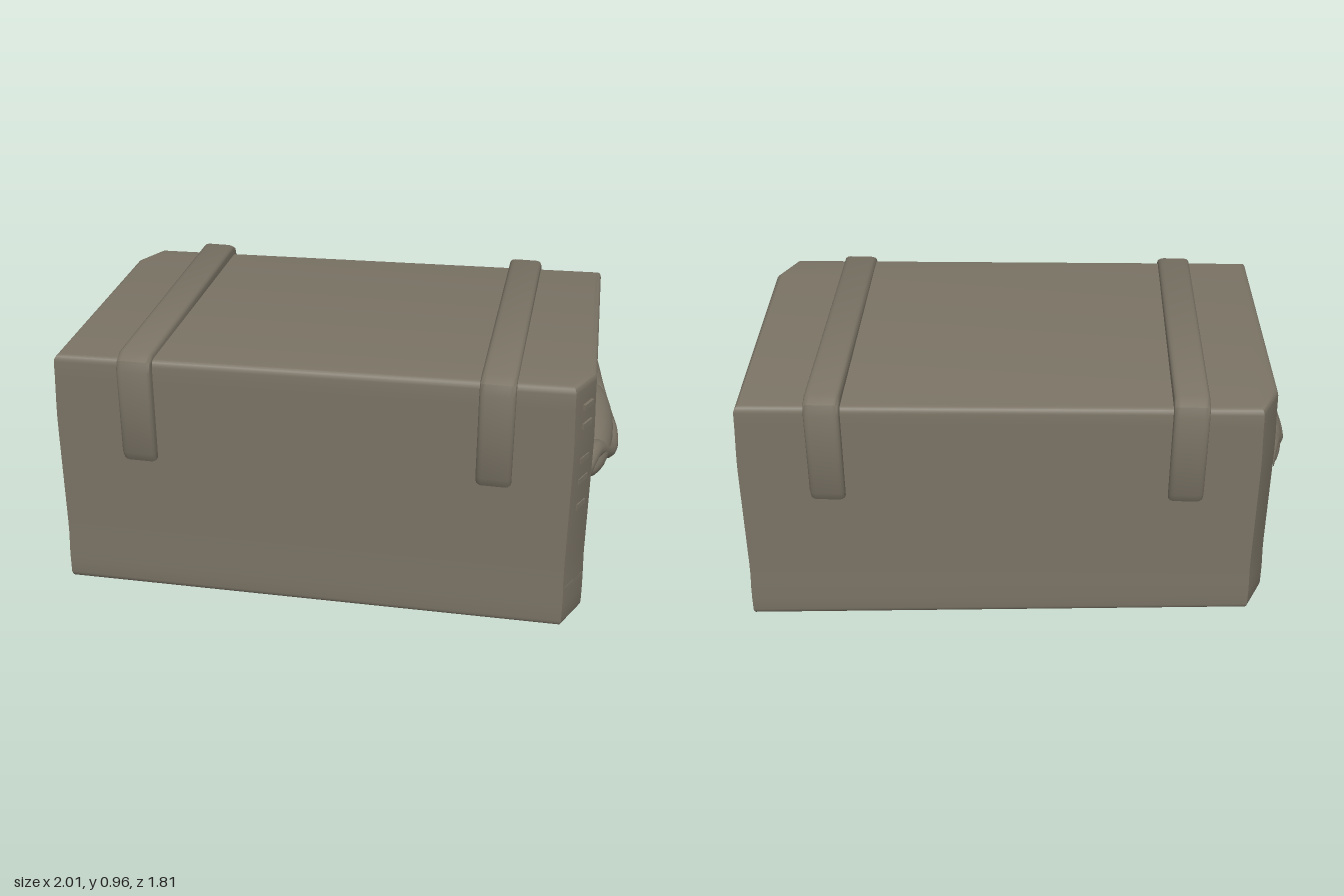
import * as THREE from 'three';
import { toCreasedNormals } from 'three/addons/utils/BufferGeometryUtils.js';

const stone = new THREE.MeshStandardMaterial({ color: 0x7a7365 });
stone.name = 'grey brown';

// Footprint (length, depth) with two clipped corners
const footprint = [[-0.848, -0.54], [-0.914, -0.41], [-0.93, 0.54], [0.848, 0.54], [0.914, 0.41], [0.928, -0.545]];

// The floor and lid are slightly out of level
const floorAt = (u, v) => 0.035 - 0.038 * v - 0.013 * u;
const lidAt = (u, v) => 0.928 + 0.007 * u + 0.016 * v;

function part(name, geometry) {
  const mesh = new THREE.Mesh(toCreasedNormals(geometry, 0.7), stone);
  mesh.name = name;
  return mesh;
}

// Soft-edged prism on the footprint between floor and lid
function body() {
  const bevel = 0.028;
  const shape = new THREE.Shape(footprint.map(([u, v]) => new THREE.Vector2(u, -v)));
  const geo = new THREE.ExtrudeGeometry(shape, {
    depth: 1 - 2 * bevel, steps: 16, bevelThickness: bevel, bevelSize: bevel * 0.8, bevelOffset: -bevel * 0.8, bevelSegments: 4,
  });
  geo.translate(0, 0, bevel).rotateX(-Math.PI / 2);
  const p = geo.attributes.position;
  for (let i = 0; i < p.count; i++) {
    const u = p.getX(i), t = p.getY(i), v = p.getZ(i);
    // Faint swelling around the foot, slight narrowing towards the lid
    const foot = 0.005 * (1 - THREE.MathUtils.smoothstep(t, 0.1, 0.24));
    const taper = 0.01 * THREE.MathUtils.smoothstep(t, 0.7, 1);
    p.setXYZ(i, u * (1 + foot - taper), THREE.MathUtils.lerp(floorAt(u, v), lidAt(u, v), t), v * (1 + foot));
  }
  return geo;
}

// Strap bent over the lid, with legs down the front and back
function strap() {
  const half = [[0.5, 0.9], [0.5, 0.555], [0.55, 0.555], [0.568, 0.59], [0.57, 0.9], [0.558, 0.935], [0.52, 0.955]];
  const outline = [...half, ...half.map(([v, y]) => [-v, y]).reverse()];
  const geo = new THREE.ExtrudeGeometry(new THREE.Shape(outline.map(([v, y]) => new THREE.Vector2(v, y))), {
    depth: 0.08, bevelThickness: 0.02, bevelSize: 0.014, bevelOffset: -0.012, bevelSegments: 3,
  });
  return geo.translate(0, 0, -0.04).rotateY(Math.PI / 2);
}

// Drooping grip merged into a raised boss, facing +x
function handle(name) {
  const group = new THREE.Group();
  group.name = name;
  const path = new THREE.CatmullRomCurve3([
    [0.885, 0.54, 0.36], [0.92, 0.56, 0.24], [0.95, 0.51, 0.14], [0.98, 0.46, 0.03],
    [0.985, 0.45, -0.12], [0.96, 0.47, -0.24], [0.93, 0.53, -0.31], [0.895, 0.64, -0.32],
  ].map((q) => new THREE.Vector3(...q)));
  group.add(part('grip', new THREE.TubeGeometry(path, 40, 0.034, 12)));
  const boss = new THREE.SphereGeometry(1, 32, 20);
  boss.scale(0.095, 0.1, 0.34).translate(0.9, 0.51, -0.03);
  group.add(part('handleBoss', boss));
  return group;
}

export function createModel() {
  const model = new THREE.Group();
  model.name = 'chest';
  const chest = new THREE.Group();
  chest.name = 'turnedChest';
  chest.rotation.y = 0.467;
  model.add(chest);

  chest.add(part('body', body()));

  [[-0.617, -0.002, 'rightStrap'], [0.608, 0.006, 'leftStrap']].forEach(([u, y, name]) => {
    const band = part(name, strap());
    band.position.set(u, y, 0);
    band.rotation.y = -0.035;
    chest.add(band);
  });

  const left = handle('leftHandle');
  const right = handle('rightHandle');
  right.rotation.y = Math.PI;
  right.position.set(-0.01, 0.03, 0);
  chest.add(left, right);

  // Small ridges on the clipped corner
  [0.09, 0.155, 0.47, 0.57, 0.65, 0.78, 0.85].forEach((y, i) => {
    const ridge = part('cornerRidge', new THREE.BoxGeometry(0.02, 0.02, i < 2 ? 0.12 : 0.06));
    ridge.position.set(0.994, y, i < 2 ? 0.03 : 0.02);
    model.add(ridge);
  });
  return model;
}
